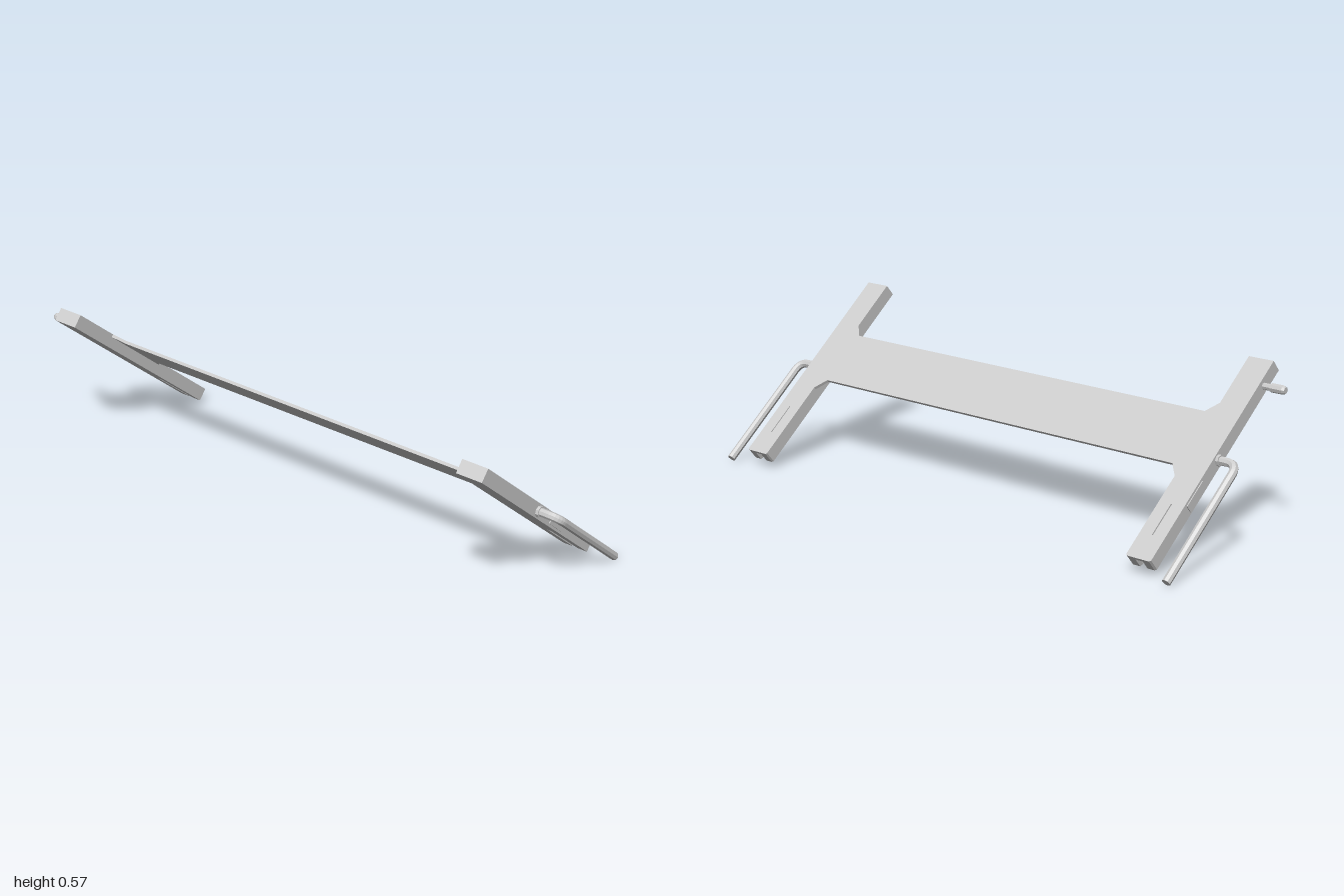
import * as THREE from 'three';

const material = new THREE.MeshStandardMaterial({ color: 0xcccccc, flatShading: true });

function add(parent, name, geometry, x = 0, y = 0, z = 0) {
  const mesh = new THREE.Mesh(geometry, material);
  mesh.name = name;
  mesh.position.set(x, y, z);
  parent.add(mesh);
  return mesh;
}

const outline = (points) => new THREE.Shape(points.map(([x, y]) => new THREE.Vector2(x, y)));
const slab = (shape, depth) => new THREE.ExtrudeGeometry(shape, { depth, bevelEnabled: false });

// Cylinder lying along x
function bar(r0, r1, length, sides = 8) {
  return new THREE.CylinderGeometry(r0, r1, length, sides).rotateZ(Math.PI / 2);
}

// Thin H-shaped plate with gussets and a slit in each lower arm
function platePoints() {
  const half = [
    [0, -0.048], [0.78, -0.048], [0.815, -0.09], [0.815, -0.395], [0.82, -0.4],
    [0.905, -0.4], [0.911, -0.395], [0.911, 0.4], [0.815, 0.4], [0.815, 0.206],
    [0.78, 0.164], [0, 0.164],
  ];
  const mirrored = half.slice(1, -1).reverse().map(([x, y]) => [-x, y]);
  return [...half, ...mirrored];
}

export function createModel() {
  const root = new THREE.Group();
  root.name = 'tiltedFrame';

  // Local y runs up the slope, local +z is the underside
  const frame = new THREE.Group();
  frame.name = 'frame';
  frame.rotation.x = THREE.MathUtils.degToRad(50.1);
  frame.position.set(0, 0.298, 0.013);
  root.add(frame);

  const plate = outline(platePoints());
  for (const s of [-1, 1]) {
    const x = s * 0.863;
    plate.holes.push(new THREE.Path([
      [x - 0.002, -0.31], [x + 0.002, -0.31], [x + 0.002, -0.19], [x - 0.002, -0.19],
    ].map(([px, py]) => new THREE.Vector2(px, py))));
  }
  add(frame, 'crossPlate', slab(plate, 0.0105), 0, 0, -0.0235);

  // Arm body, forked at its lower end
  const armShape = outline([
    [-0.048, 0.4], [-0.048, -0.395], [-0.042, -0.4], [-0.014, -0.4], [-0.009, -0.39],
    [-0.009, -0.19], [0.009, -0.19], [0.009, -0.39], [0.014, -0.4], [0.042, -0.4],
    [0.048, -0.395], [0.048, 0.4],
  ]);

  for (const s of [-1, 1]) {
    const side = s > 0 ? 'left' : 'right';
    add(frame, side + 'Arm', slab(armShape, 0.0365), s * 0.863, 0, -0.013);
    add(frame, side + 'SidePad', new THREE.BoxGeometry(0.004, 0.1, 0.03), s * 0.912, -0.13, 0);

    // Bent rod running down beside the arm
    const path = new THREE.CurvePath();
    const v = (x, y) => new THREE.Vector3(s * x, y, 0);
    path.add(new THREE.LineCurve3(v(0.9, 0.014), v(0.945, 0.014)));
    path.add(new THREE.QuadraticBezierCurve3(v(0.945, 0.014), v(0.985, 0.014), v(0.985, -0.026)));
    path.add(new THREE.LineCurve3(v(0.985, -0.026), v(0.985, -0.441)));
    add(frame, side + 'Rod', new THREE.TubeGeometry(path, 60, 0.0145, 8));
    const cap = add(frame, side + 'RodEnd', new THREE.CircleGeometry(0.0145, 8), s * 0.985, -0.441, 0);
    cap.rotation.x = Math.PI / 2;
    add(frame, side + 'RodCollar', bar(0.019, 0.019, 0.012), s * 0.915, 0.014, 0);
  }

  // Peg near the top of the right arm
  add(frame, 'pegStem', bar(0.011, 0.011, 0.04), -0.925, 0.315, 0);
  add(frame, 'pegHead', bar(0.015, 0.015, 0.044), -0.964, 0.315, 0);
  add(frame, 'pegTip', bar(0.015, 0.011, 0.009), -0.9905, 0.315, 0).rotation.z = Math.PI;

  return root;
}
